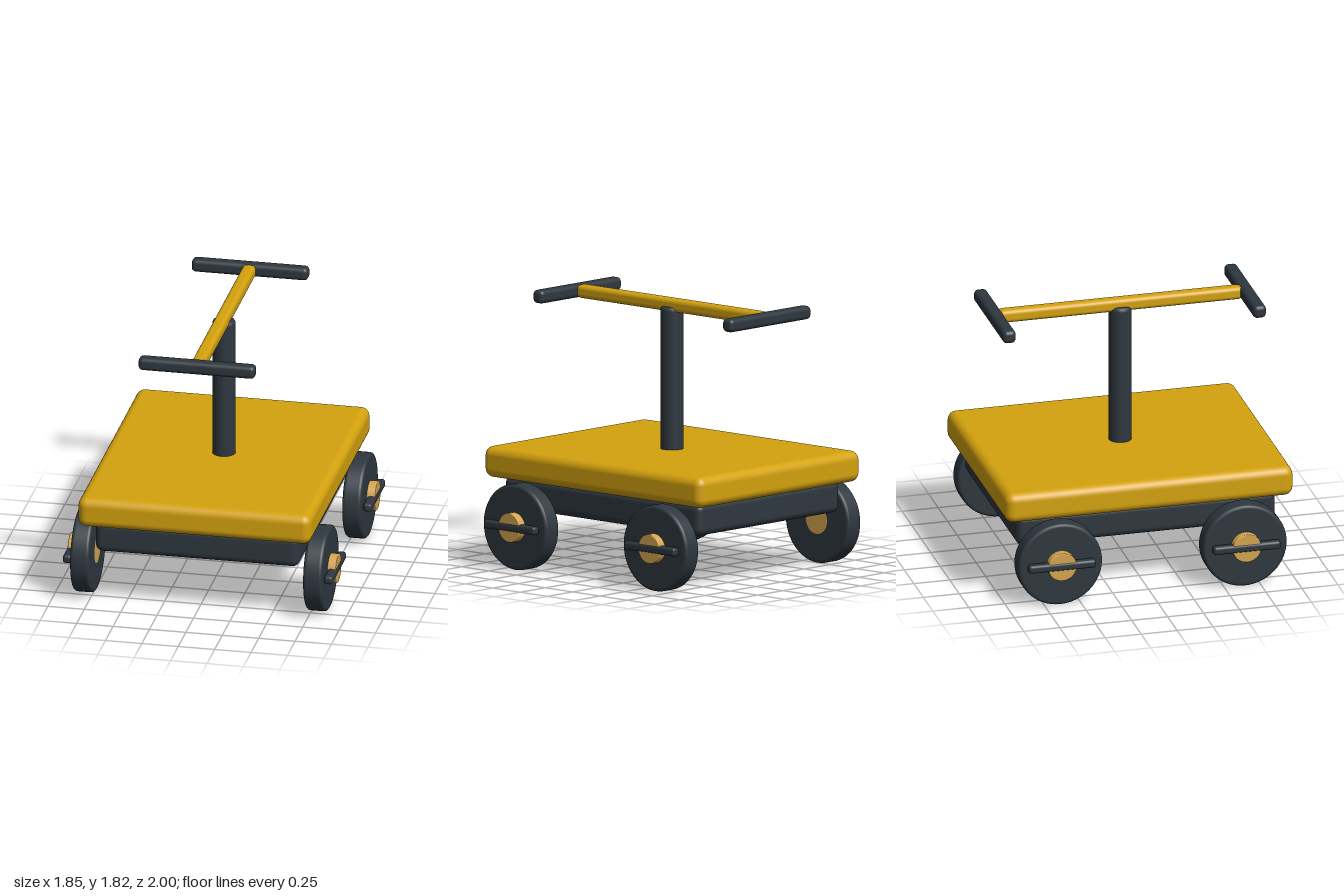
import * as THREE from 'three';
import { RoundedBoxGeometry } from 'three/addons/geometries/RoundedBoxGeometry.js';

const paint = (name, color) => {
  const m = new THREE.MeshStandardMaterial({ color });
  m.name = name;
  return m;
};

// Cylinder along y with rounded rims
function softCylinder(radius, height, bevel, segments = 48) {
  const h = height / 2, steps = 4;
  const half = [new THREE.Vector2(radius - bevel - 0.003, h)];
  for (let i = 0; i <= steps; i++) {
    const a = Math.PI / 2 * (1 - i / steps);
    half.push(new THREE.Vector2(radius - bevel + Math.cos(a) * bevel, h - bevel + Math.sin(a) * bevel));
  }
  half.push(new THREE.Vector2(radius, h - bevel - 0.003));
  const bottom = half.map(p => new THREE.Vector2(p.x, -p.y));
  const profile = [new THREE.Vector2(0, -h), ...bottom, ...half.slice().reverse(), new THREE.Vector2(0, h)];
  return new THREE.LatheGeometry(profile, segments);
}

export function createModel() {
  const yellow = paint('yellow', 0xd4a20e);
  const charcoal = paint('charcoal', 0x2e373f);
  const brass = paint('brass', 0xd4a550);
  const model = new THREE.Group();
  model.name = 'pushCart';

  const add = (name, geometry, material, x, y, z, parent = model) => {
    const mesh = new THREE.Mesh(geometry, material);
    mesh.name = name;
    mesh.position.set(x, y, z);
    parent.add(mesh);
    return mesh;
  };
  const box = (w, h, d, r) => new RoundedBoxGeometry(w, h, d, 5, r);

  // Body
  add('deck', box(1.6, 0.21, 2, 0.06), yellow, 0, 0.695, 0);
  add('chassis', box(1.4, 0.22, 1.8, 0.05), charcoal, 0, 0.49, 0);

  // Post and double handle
  add('post', softCylinder(0.078, 1.1, 0.025, 32), charcoal, 0, 1.22, 0);
  add('crossbar', box(0.09, 0.09, 1.69, 0.03), yellow, 0, 1.78, 0);
  for (const s of [1, -1]) add('handlebar', box(0.8, 0.09, 0.09, 0.03), charcoal, 0, 1.78, s * 0.87);

  // Wheels with brass hubs and lock bars
  const tyre = softCylinder(0.292, 0.13, 0.02, 64).rotateZ(-Math.PI / 2);
  const hub = softCylinder(0.1, 0.187, 0.006).rotateZ(-Math.PI / 2);
  const bar = box(0.06, 0.058, 0.468, 0.02);
  for (const sx of [1, -1]) {
    for (const sz of [1, -1]) {
      const wheel = new THREE.Group();
      wheel.name = `${sz > 0 ? 'front' : 'back'}${sx > 0 ? 'Left' : 'Right'}Wheel`;
      wheel.position.set(sx * 0.8, 0.293, sz * 0.642);
      add('tyre', tyre, charcoal, 0, 0, 0, wheel);
      add('hub', hub, brass, sx * 0.0275, 0.003, 0, wheel);
      add('lockBar', bar, charcoal, sx * 0.097, 0.005, 0, wheel);
      model.add(wheel);
    }
  }
  return model;
}
